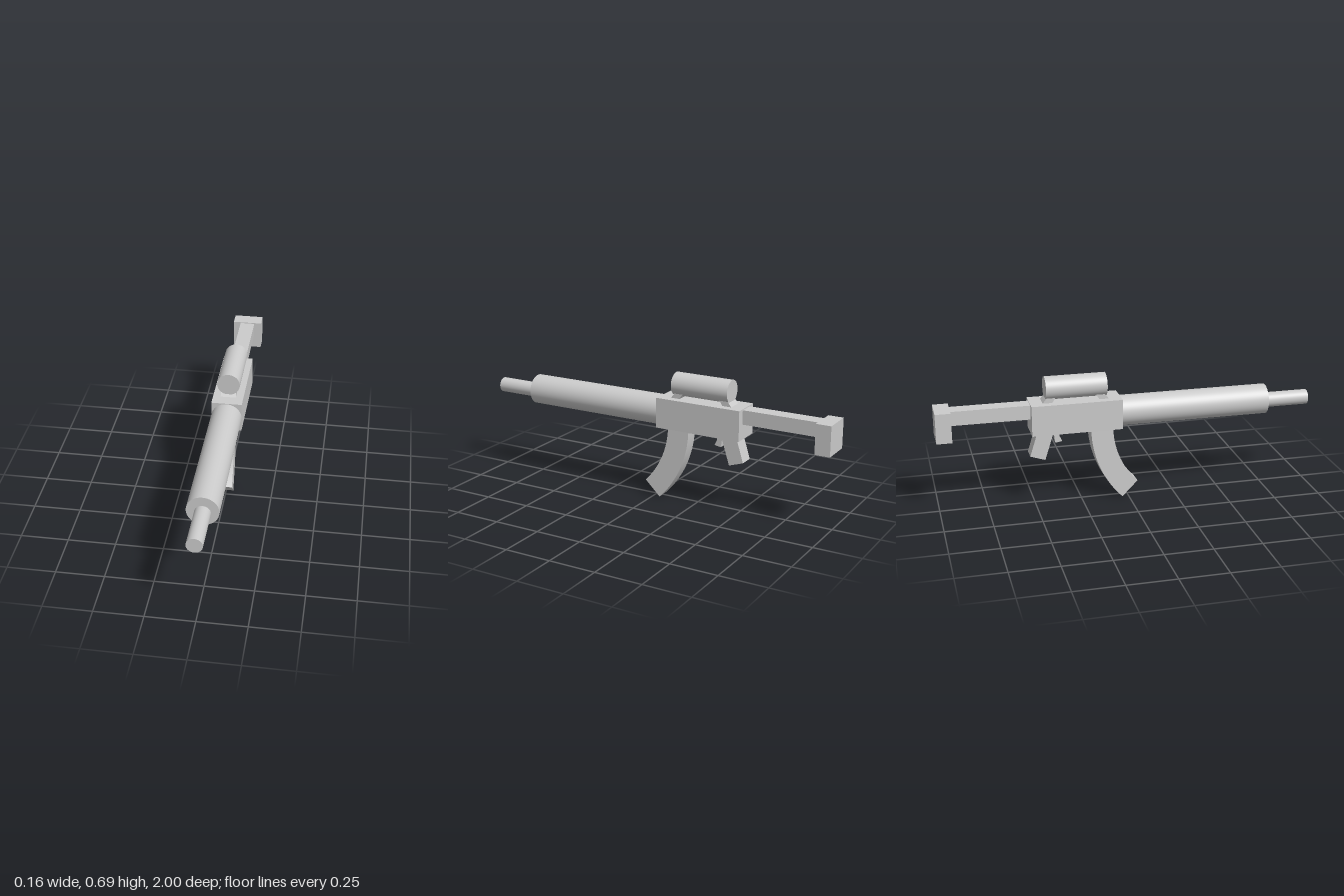
import * as THREE from 'three';

const material = new THREE.MeshStandardMaterial({ color: 0xcccccc });

export function createModel() {
  const model = new THREE.Group();

  function add(name, geometry) {
    const mesh = new THREE.Mesh(geometry, material);
    mesh.name = name;
    model.add(mesh);
    return mesh;
  }

  // Box given by its width and its y and z ranges
  function box(name, width, y0, y1, z0, z1) {
    add(name, new THREE.BoxGeometry(width, y1 - y0, z1 - z0))
      .position.set(0, (y0 + y1) / 2, (z0 + z1) / 2);
  }

  // Cylinder lying along z
  function tube(name, radius, y, z0, z1) {
    const geometry = new THREE.CylinderGeometry(radius, radius, z1 - z0, 48);
    geometry.rotateX(Math.PI / 2);
    add(name, geometry).position.set(0, y, (z0 + z1) / 2);
  }

  // Side profile in (z, y), extruded evenly across x
  function slab(name, width, shape) {
    const geometry = new THREE.ExtrudeGeometry(shape, { depth: width, bevelEnabled: false, curveSegments: 24 });
    geometry.translate(0, 0, -width / 2);
    geometry.rotateY(-Math.PI / 2);
    return add(name, geometry);
  }

  const polygon = (points) => new THREE.Shape(points.map(([z, y]) => new THREE.Vector2(z, y)));

  // Body, barrel and stock
  box('receiver', 0.16, 0.402, 0.562, -0.515, -0.04);
  tube('handguard', 0.08, 0.479, -0.05, 0.76);
  tube('barrel', 0.04, 0.47, 0.75, 1);
  box('stock', 0.08, 0.482, 0.557, -0.93, -0.51);
  box('buttPlate', 0.16, 0.405, 0.562, -1, -0.92);

  // Scope on two mounts that lean toward each other
  tube('scope', 0.06, 0.632, -0.435, -0.115);
  const scopeMiddle = -0.278;
  for (const [name, side] of [['frontMount', 1], ['rearMount', -1]]) {
    slab(name, 0.08, polygon(
      [[0.178, 0.555], [0.128, 0.555], [0.105, 0.59], [0.149, 0.592]]
        .map(([z, y]) => [scopeMiddle + side * z, y])
    ));
  }

  // Curved magazine: a band between two arcs, turned very slightly
  const arcZ = 0.369, arcY = 0.407, inner = 0.454, outer = 0.572;
  const magazine = new THREE.Shape();
  magazine.moveTo(arcZ - outer, arcY);
  magazine.absarc(arcZ, arcY, outer, Math.PI, Math.PI * 1.25, false);
  magazine.absarc(arcZ, arcY, inner, Math.PI * 1.25, Math.PI, true);
  magazine.closePath();
  slab('magazine', 0.08, magazine).rotation.y = 0.04;

  // Grip and trigger
  slab('grip', 0.08, polygon([[-0.395, 0.41], [-0.445, 0.252], [-0.523, 0.278], [-0.482, 0.41]]));
  slab('trigger', 0.04, polygon([[-0.365, 0.41], [-0.365, 0.37], [-0.35, 0.341], [-0.387, 0.335], [-0.397, 0.41]]));

  return model;
}
